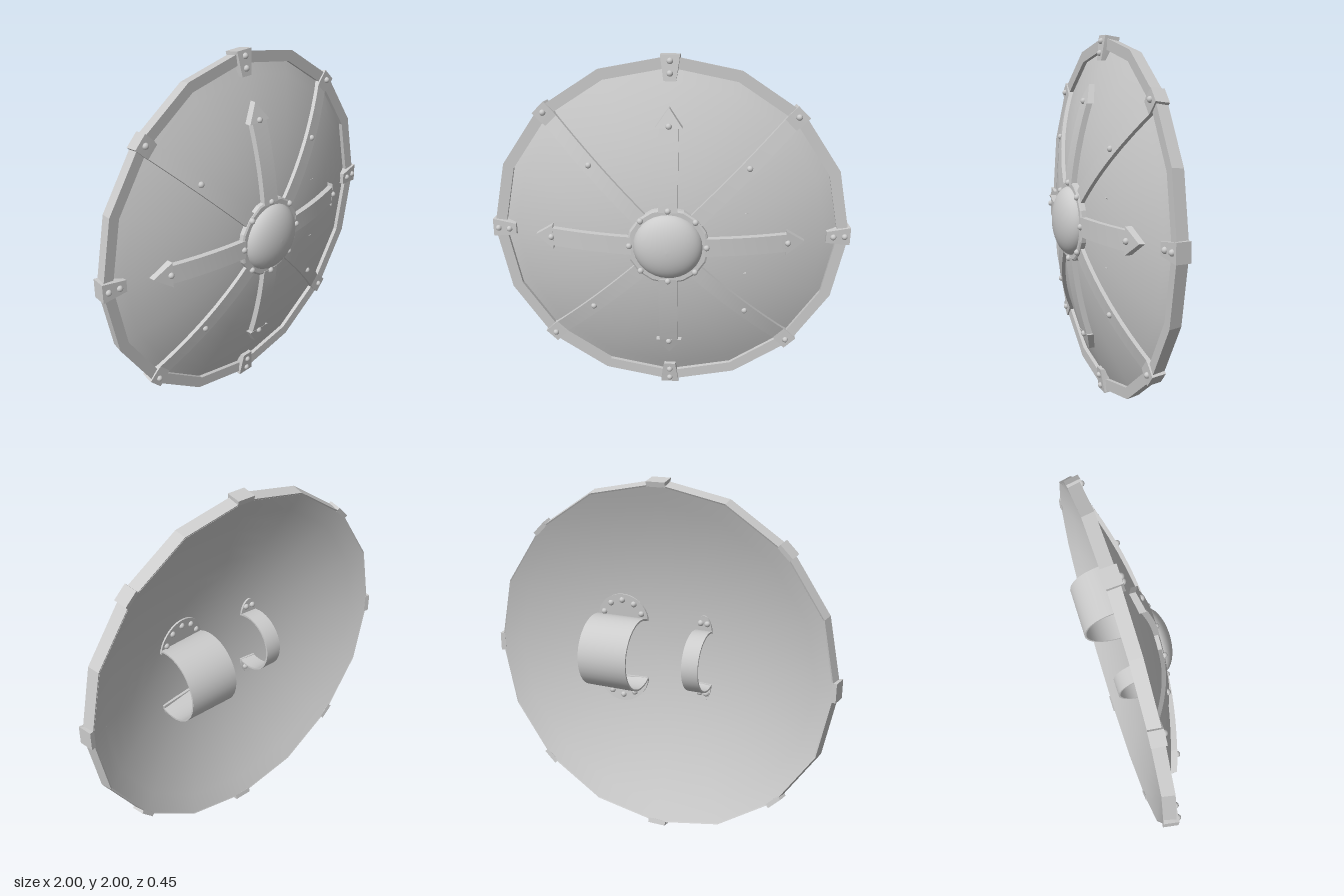
import * as THREE from 'three';
import { toCreasedNormals } from 'three/addons/utils/BufferGeometryUtils.js';

const SIDES = 16;
const CURVE = 0.24;
const front = (r) => 0.125 - CURVE * r * r; // front surface of the dish
const back = (r) => 0.1 - CURVE * r * r;    // back surface of the dish
const material = new THREE.MeshStandardMaterial({ color: 0xcccccc });
const flat = new THREE.MeshStandardMaterial({ color: 0xcccccc, flatShading: true });

function add(parent, name, geometry, mat = material) {
  const mesh = new THREE.Mesh(geometry, mat);
  mesh.name = name;
  parent.add(mesh);
  return mesh;
}

// Solid of revolution about the z axis from [radius, z] points
function turned(points, sides) {
  const g = new THREE.LatheGeometry(points.map(([r, z]) => new THREE.Vector2(r, z)), sides);
  return g.rotateX(Math.PI / 2);
}

// Solid strip along x from stations [outerX, outerZ, innerX, innerZ, halfWidth]
function strip(stations, crease = 0.5) {
  const pos = [];
  const rings = stations.map(([ox, oz, ix, iz, w]) => [[ox, w, oz], [ox, -w, oz], [ix, -w, iz], [ix, w, iz]]);
  const quad = (a, b, c, d) => pos.push(...a, ...b, ...c, ...a, ...c, ...d);
  for (let i = 0; i < rings.length - 1; i++) {
    const a = rings[i], b = rings[i + 1];
    for (let k = 0; k < 4; k++) quad(a[k], a[(k + 1) % 4], b[(k + 1) % 4], b[k]);
  }
  const s = rings[0], e = rings[rings.length - 1];
  quad(s[0], s[3], s[2], s[1]);
  quad(...e);
  const g = new THREE.BufferGeometry();
  g.setAttribute('position', new THREE.Float32BufferAttribute(pos, 3));
  g.computeVertexNormals();
  return toCreasedNormals(g, crease);
}

// Stations that follow the front of the dish
function along(r0, r1, n, width, lift) {
  return Array.from({ length: n + 1 }, (_, i) => {
    const r = r0 + (r1 - r0) * i / n;
    return [r, front(r) + lift, r, front(r) - 0.01, width];
  });
}

const rivetShape = new THREE.SphereGeometry(0.017, 10, 8);
function rivet(parent, x, y, z) {
  add(parent, 'rivet', rivetShape).position.set(x, y, z);
}

// Back handle: a curved band with a rounded, riveted foot at each end
function handle(name, x, halfWidth, radius, centre, sweep, footLength, rivets) {
  const group = new THREE.Group();
  group.name = name;
  const toBack = new THREE.Matrix4().makeBasis(
    new THREE.Vector3(0, 1, 0), new THREE.Vector3(1, 0, 0), new THREE.Vector3(0, 0, -1));
  const n = 24, inner = radius - 0.01;
  const arc = Array.from({ length: n + 1 }, (_, i) => {
    const t = sweep * (2 * i / n - 1), s = Math.sin(t), c = Math.cos(t);
    return [radius * s, centre + radius * c, inner * s, centre + inner * c, halfWidth];
  });
  add(group, 'band', strip(arc).applyMatrix4(toBack).translate(x, 0, 0));

  const start = radius * Math.sin(sweep) - 0.01;
  for (const side of [1, -1]) {
    const foot = [];
    for (let i = 0; i <= 10; i++) {
      const a = i / 10 * Math.PI / 2;
      const u = side * (start + footLength * Math.sin(a));
      foot.push([u, 0.012, u, -0.008, Math.max(halfWidth * Math.cos(a), 0.002)]);
    }
    if (side < 0) foot.reverse();
    const g = strip(foot).applyMatrix4(toBack).translate(x, 0, 0);
    // lay the foot on the hollow of the dish
    const p = g.attributes.position;
    for (let i = 0; i < p.count; i++) p.setZ(i, p.getZ(i) + back(Math.hypot(p.getX(i), p.getY(i))));
    g.computeVertexNormals();
    add(group, 'foot', g);
    for (const [dx, dy] of rivets) {
      const y = start + dy;
      rivet(group, x + dx, side * y, back(Math.hypot(x + dx, y)) - 0.012);
    }
  }
  return group;
}

export function createModel() {
  const model = new THREE.Group();
  model.name = 'roundShield';
  const shield = new THREE.Group();
  shield.name = 'shield';
  shield.position.y = 1;
  model.add(shield);

  // Curved dish
  const profile = [];
  for (let i = 0; i <= 10; i++) profile.push([0.97 * i / 10, back(0.97 * i / 10)]);
  for (let i = 10; i >= 0; i--) profile.push([0.96 * i / 10, front(0.96 * i / 10)]);
  add(shield, 'dish', toCreasedNormals(turned(profile, SIDES), 0.6));

  // Faceted rim, standing slightly proud of the dish
  add(shield, 'rim', turned([[0.93, -0.1], [0.977, -0.127], [0.992, -0.06], [0.93, -0.06], [0.93, -0.1]], SIDES), flat);

  // Central boss and its collar
  add(shield, 'bossCollar', turned([[0.225, 0.09], [0.225, 0.137], [0.215, 0.143], [0.17, 0.143]], SIDES), flat);
  const dome = [];
  for (let i = 0; i <= 12; i++) {
    const a = i / 12 * Math.PI / 2;
    dome.push([0.19 * Math.cos(a), 0.13 + 0.095 * Math.sin(a)]);
  }
  add(shield, 'boss', turned(dome, 32));
  for (let i = 0; i < 8; i++) {
    const a = i * Math.PI / 4;
    rivet(shield, 0.21 * Math.cos(a), 0.21 * Math.sin(a), 0.143);
  }

  for (let i = 0; i < 4; i++) {
    // Arrow-headed bar and rim clamp on each axis
    const arm = new THREE.Group();
    arm.name = 'axisFittings';
    arm.rotation.z = i * Math.PI / 2;
    shield.add(arm);
    const bar = along(0.2, 0.64, 6, 0.052, 0.03);
    const head = along(0.64, 0.74, 1, 0.072, 0.032);
    head[1][4] = 0.001;
    add(arm, 'arrowBar', strip([...bar, ...head], 0.3));
    rivet(arm, 0.65, 0, front(0.65) + 0.032);
    add(arm, 'rimClamp', strip([
      [0.865, -0.032, 0.865, -0.08, 0.033],
      [1, -0.05, 0.97, -0.08, 0.052],
      [0.987, -0.132, 0.96, -0.125, 0.052],
    ], 0.2));
    rivet(arm, 0.905, 0, -0.037);
    rivet(arm, 0.968, 0, -0.045);

    // Diagonal strap that folds over the rim
    const diagonal = new THREE.Group();
    diagonal.name = 'diagonalFittings';
    diagonal.rotation.z = (i + 0.5) * Math.PI / 2;
    shield.add(diagonal);
    add(diagonal, 'strap', strip([
      ...along(0.2, 0.9, 10, 0.042, 0.02),
      [0.93, -0.05, 0.93, -0.09, 0.046],
      [0.998, -0.053, 0.97, -0.08, 0.046],
      [0.984, -0.13, 0.96, -0.125, 0.046],
    ], 0.3));
    rivet(diagonal, 0.605, 0, front(0.605) + 0.02);
    rivet(diagonal, 0.96, 0, -0.05);
  }

  // Forearm band and hand grip on the back
  const fan = [-70, -35, 0, 35, 70].map((d) => {
    const a = THREE.MathUtils.degToRad(d);
    return [0.115 * Math.sin(a), 0.115 * Math.cos(a)];
  });
  shield.add(handle('forearmBand', 0.285, 0.145, 0.205, 0.02, 2.06, 0.15, fan));
  shield.add(handle('handGrip', -0.2, 0.047, 0.17, -0.025, 1.92, 0.1, [[-0.02, 0.055], [0.02, 0.055]]));

  return model;
}
